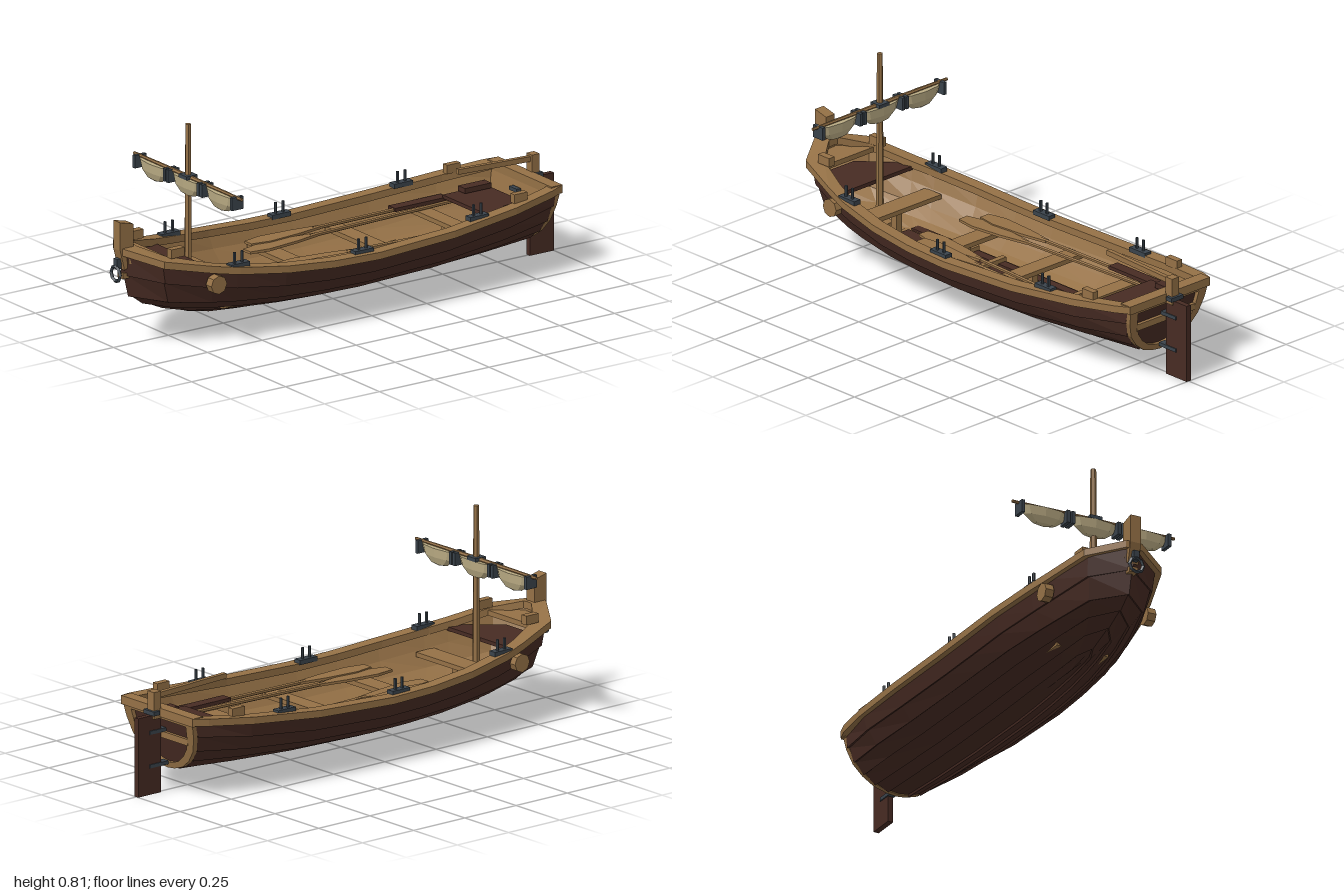
import * as THREE from 'three';

const mat = (name, color) => {
  const m = new THREE.MeshStandardMaterial({ color, flatShading: true, side: THREE.DoubleSide });
  m.name = name;
  return m;
};

export function createModel() {
  const boat = new THREE.Group();
  boat.name = 'rowingBoat';
  const tan = mat('lightWood', 0x957146);
  const dark = mat('darkWood', 0x472b23);
  const metal = mat('iron', 0x3a434b);
  const canvas = mat('canvas', 0xbcad85);

  const add = (name, geo, m, x = 0, y = 0, z = 0) => {
    const mesh = new THREE.Mesh(geo, m);
    mesh.name = name;
    mesh.position.set(x, y, z);
    boat.add(mesh);
    return mesh;
  };
  const box = (name, m, w, h, d, x, y, z) => add(name, new THREE.BoxGeometry(w, h, d), m, x, y, z);
  // Skin over a grid of points, one row per station
  const loft = (rows) => {
    const pos = [];
    for (let r = 0; r < rows.length - 1; r++) {
      for (let c = 0; c < rows[r].length - 1; c++) {
        const a = rows[r][c], b = rows[r + 1][c], d = rows[r][c + 1], e = rows[r + 1][c + 1];
        pos.push(...a, ...b, ...d, ...b, ...e, ...d);
      }
    }
    const g = new THREE.BufferGeometry();
    g.setAttribute('position', new THREE.Float32BufferAttribute(pos, 3));
    g.computeVertexNormals();
    return g;
  };
  const mirrorPts = (pts) => [...pts, ...pts.slice().reverse().map(([x, ...r]) => [-x, ...r])];
  const shapeOf = (pts) => new THREE.Shape(pts.map(([x, y]) => new THREE.Vector2(x, y)));
  const slab = (pts, depth) => new THREE.ExtrudeGeometry(shapeOf(pts), { depth, bevelEnabled: false });
  const flatSlab = (pts, depth) => slab(pts, depth).rotateX(Math.PI / 2); // (x, z) outline

  // Plank edges from sheer to keel: midship, transom and stem
  const mid = [[.285, .245], [.258, .18], [.216, .132], [.163, .1], [.1, .076], [.045, .062], [0, .058]];
  const stern = [[.195, .31, -.88], [.188, .25, -.867], [.168, .19, -.853], [.133, .145, -.843],
    [.09, .112, -.835], [.04, .095, -.83], [0, .09, -.83]];
  const stem = [[.365, .972], [.28, .955], [.19, .925], [.15, .86], [.115, .77], [.08, .65], [.057, .5]];
  // Stations: z at the sheer, blend of width, blend of height
  const stations = [[-.88, 1, 1], [-.65, .4, .6], [-.35, .1, .2], [0, 0, 0], [.2, .02, .03], [.4, .07, .14],
    [.6, .2, .33], [.7, .29, .46], [.88, .5, .8], [.975, 1, 1]];
  const lerp = THREE.MathUtils.lerp;
  const edge = (k, [z, wx, wy]) => z < 0
    ? [lerp(mid[k][0], stern[k][0], wx), lerp(mid[k][1], stern[k][1], wy), z * stern[k][2] / -.88]
    : [lerp(mid[k][0], 0, wx), lerp(mid[k][1], stem[k][0], wy), z * stem[k][1] / .975];

  // Lapped outer planking
  const hullRows = stations.map((st) => {
    const pts = [edge(0, st)];
    for (let k = 0; k < 6; k++) {
      const a = edge(k, st), b = edge(k + 1, st);
      const dx = b[0] - a[0], dy = b[1] - a[1], len = Math.hypot(dx, dy) || 1;
      const lap = k < 5 ? .009 : 0, atStem = st[1] === 1 && st[0] > 0;
      pts.push(atStem ? [0, b[1] - lap * .3, b[2] + lap]
        : [b[0] - dy / len * lap, b[1] + dx / len * lap, b[2]], b);
    }
    return mirrorPts(pts);
  });
  add('hullPlanking', loft(hullRows), dark);

  // Inner lining
  const liningRows = stations.map((st) => mirrorPts(mid.map((_, k) => {
    const [x, y, z] = edge(k, st);
    return [x * .95, y + .013, z * .98];
  })).reverse());
  add('hullLining', loft(liningRows), tan);

  // Transom with raised frame
  const sternShape = (s, top = .31) => mirrorPts(stern.map(([x, y]) => [x * s, top + (y - .31) * s]));
  const rake = (g, dz) => {
    const p = g.attributes.position;
    for (let i = 0; i < p.count; i++) p.setZ(i, p.getZ(i) - .83 - (p.getY(i) - .09) * .227 + dz);
    g.computeVertexNormals();
    return g;
  };
  add('transom', rake(slab(sternShape(1), .02), -.002), dark);
  add('transomLining', rake(slab(sternShape(.93), .006), .019), tan);
  const frame = shapeOf(sternShape(1.02));
  frame.holes.push(new THREE.Path(sternShape(.8, .285).map(([x, y]) => new THREE.Vector2(x, y))));
  add('transomFrame', rake(new THREE.ExtrudeGeometry(frame, { depth: .02, bevelEnabled: false }), -.018), tan);
  box('transomBar', tan, .3, .025, .02, 0, .22, -.868);

  // Gunwale cap: outer x, z, top y, inner x, inner z
  const rail = [[.206, -.9, .328, .165, -.87], [.228, -.84, .322, .178, -.84], [.265, -.65, .302, .215, -.65],
    [.295, -.35, .277, .245, -.35], [.305, 0, .263, .255, 0], [.3, .2, .267, .25, .2], [.285, .4, .281, .235, .4],
    [.25, .6, .303, .2, .6], [.222, .7, .319, .172, .69], [.165, .885, .356, .115, .84],
    [.035, .972, .386, .022, .91], [0, .98, .388, 0, .91]];
  for (const s of [1, -1]) {
    const rows = rail.map(([x, z, y, ix, iz]) => {
      const p = [[x * s, y - .028, z], [x * s, y, z], [ix * s, y, iz], [ix * s, y - .028, iz], [x * s, y - .028, z]];
      return s > 0 ? p.reverse() : p;
    });
    add('gunwale', loft(rows), tan);
  }
  box('sternRail', tan, .41, .033, .05, 0, .312, -.875);

  // Stem post and mooring ring
  const post = slab([[.925, .32], [.965, .3], [.985, .38], [.985, .49], [.925, .475]], .044);
  add('stemPost', post.rotateY(-Math.PI / 2), tan, .022, 0, 0);
  box('ringPlate', metal, .022, .04, .02, 0, .325, .982);
  add('mooringRing', new THREE.TorusGeometry(.029, .0075, 4, 8), metal, 0, .286, .99);
  box('stemPeg', tan, .035, .022, .03, 0, .276, .955);

  // Foredeck and stern sheets
  add('foredeck', flatSlab(mirrorPts([[.195, .675], [.165, .74], [.06, .86]]), .015), dark, 0, .295, 0);
  add('breasthook', flatSlab(mirrorPts([[.12, .82], [.03, .95]]), .02), tan, 0, .345, 0);
  box('sternSheet', dark, .34, .014, .2, 0, .235, -.72);
  for (const s of [1, -1]) {
    box('sideSeat', dark, .045, .014, .24, s * .185, .225, -.52);
    box('sternLocker', dark, .045, .02, .12, s * .145, .255, -.75);
  }
  box('sternCleat', metal, .05, .014, .02, 0, .27, -.83);

  // Floor boards and cross beams
  box('floor', tan, .22, .012, 1.2, 0, .106, -.02);
  for (const [x, w] of [[-.076, .036], [0, .086], [.076, .036]]) box('floorBoard', dark, w, .008, 1.14, x, .116, -.02);
  for (const z of [-.345, .095, .24]) box('floorBeam', tan, .2, .02, .022, 0, .126, z);

  // Rowing benches
  for (const [z, w, d, y] of [[-.52, .42, .065, .2], [-.16, .45, .07, .19], [.2, .43, .075, .19], [.57, .38, .085, .215]]) {
    box('bench', tan, w, .018, d, 0, y, z);
    box('benchSupport', tan, .03, y - .11, .03, 0, (y + .11) / 2, z);
  }

  // Oars resting on the benches
  const blade = mirrorPts([[.009, -.17], [.026, -.06], [.037, .08], [.022, .16]]);
  for (const s of [1, -1]) {
    for (const [x, z, turn, y] of [[.11, .16, .05, .217], [.168, .11, .02, .222]]) {
      const oar = new THREE.Group();
      oar.name = 'oar';
      const shaft = new THREE.Mesh(new THREE.CylinderGeometry(.008, .008, .72, 6).rotateX(Math.PI / 2), tan);
      shaft.name = 'oarShaft';
      shaft.position.z = -.5;
      const paddle = new THREE.Mesh(flatSlab(blade, .01), tan);
      paddle.name = 'oarBlade';
      paddle.position.y = .005;
      oar.add(shaft, paddle);
      oar.position.set(s * x, y, z);
      oar.rotation.y = -s * turn;
      boat.add(oar);
    }
  }

  // Oarlocks, rail blocks and side bosses
  for (const s of [1, -1]) {
    for (const [x, y, z] of [[.243, .292, -.485], [.265, .268, .055], [.223, .306, .59]]) {
      box('oarlockBase', metal, .032, .018, .085, s * x, y, z);
      for (const dz of [-.017, .017]) {
        add('oarlockPin', new THREE.CylinderGeometry(.006, .006, .05, 6), metal, s * x, y + .026, z + dz);
      }
    }
    box('bowBlock', tan, .028, .035, .06, s * .132, .372, .81);
    box('sternBlock', tan, .026, .035, .06, s * .215, .322, -.695);
    add('sideBoss', new THREE.CylinderGeometry(.036, .036, .035, 8).rotateZ(Math.PI / 2), tan, s * .217, .246, .685);
  }

  // Mast and yard
  add('mast', new THREE.CylinderGeometry(.011, .016, .7, 6), tan, 0, .46, .66);
  box('mastStep', tan, .07, .03, .07, 0, .12, .65);
  box('mastClamp', metal, .05, .014, .05, 0, .606, .66);
  for (const s of [1, -1]) {
    add('yardArm', new THREE.CylinderGeometry(.006, .009, .345, 6).rotateZ(-s * Math.PI / 2), tan, s * .1725, .604, .66);
    for (const x of [.098, .118, .311]) box('sailTie', metal, .014, .05, .052, s * x, .583, .66);
  }

  // Furled sail in three bundles, flat on top
  for (const x of [-.213, 0, .213]) {
    const g = new THREE.SphereGeometry(1, 8, 6);
    const p = g.attributes.position;
    for (let i = 0; i < p.count; i++) p.setY(i, Math.min(p.getY(i), 0));
    g.scale(.097, .071, .025);
    g.computeVertexNormals();
    add('furledSail', g, canvas, x, .599, .66);
  }

  // Rudder, tiller and hinges
  box('rudder', dark, .022, .305, .11, 0, .1525, -.945);
  box('rudderHead', tan, .036, .105, .035, 0, .342, -.912);
  const tiller = box('tiller', tan, .018, .02, .35, 0, .382, -.742);
  tiller.rotation.x = -.035;
  box('rudderHinge', metal, .06, .016, .03, 0, .315, -.925);
  for (const y of [.11, .24]) box('rudderHinge', metal, .03, .014, .09, 0, y, -.9);
  return boat;
}
